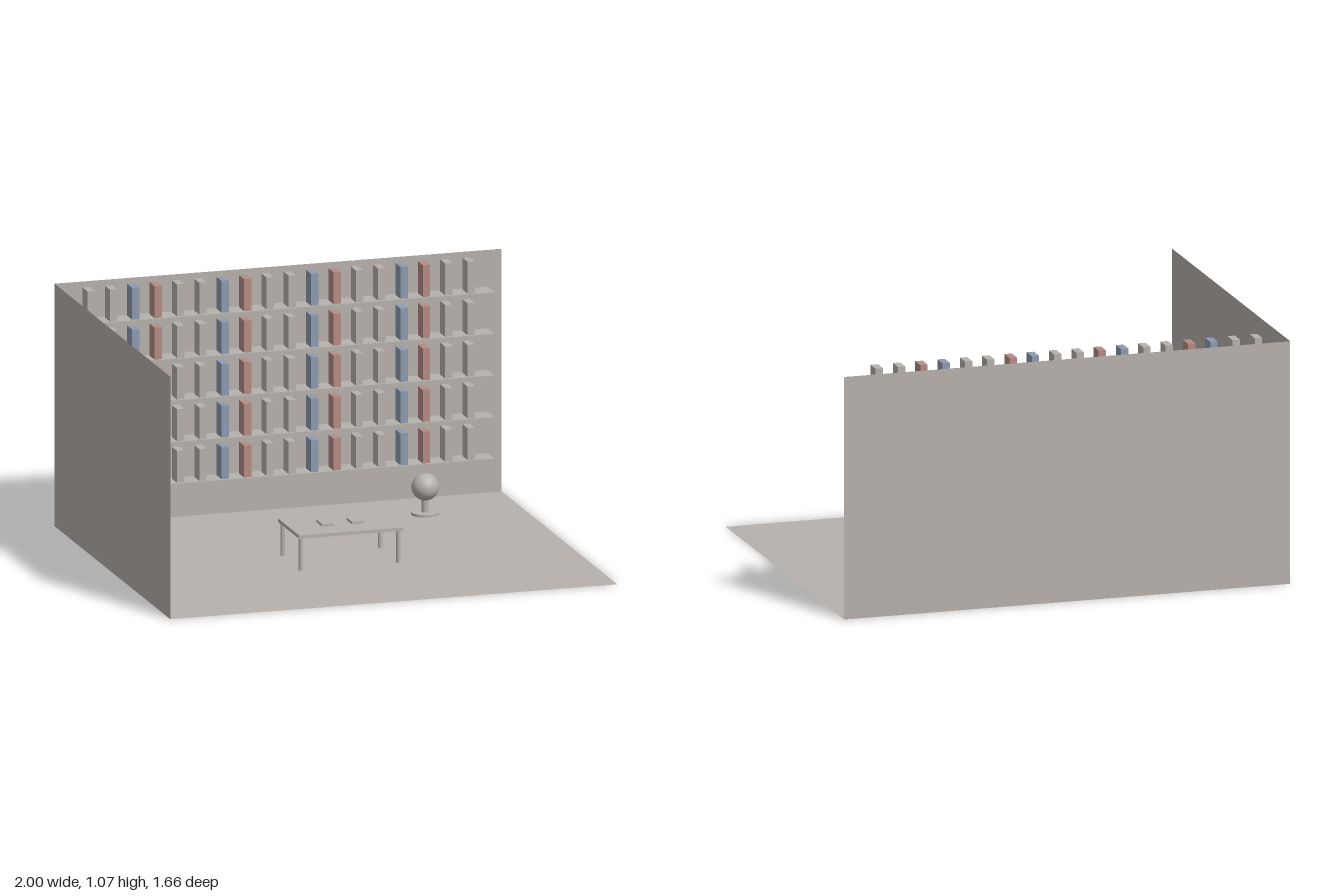
import * as THREE from 'three';

const mat = (name, color, side = THREE.FrontSide) => {
  const m = new THREE.MeshStandardMaterial({ color, side });
  m.name = name;
  return m;
};

export function createModel() {
  const room = new THREE.Group();
  room.name = 'libraryRoom';

  const plaster = mat('warm grey plaster', 0xb8b1ad, THREE.DoubleSide);
  const grey = mat('warm grey', 0xb6b1ac);
  const blue = mat('dusty blue', 0x8d9bb1);
  const red = mat('dusty red', 0xb58c84);

  const add = (parent, name, geometry, material, x, y, z) => {
    const mesh = new THREE.Mesh(geometry, material);
    mesh.name = name;
    mesh.position.set(x, y, z);
    parent.add(mesh);
    return mesh;
  };
  const group = (name) => {
    const g = new THREE.Group();
    g.name = name;
    room.add(g);
    return g;
  };

  // Floor and two thin walls
  const W = 2, D = 1.66, H = 1.07;
  add(room, 'floor', new THREE.PlaneGeometry(W, D), plaster, 0, 0, 0).rotation.x = -Math.PI / 2;
  add(room, 'backWall', new THREE.PlaneGeometry(W, H), plaster, 0, H / 2, -D / 2);
  add(room, 'rightWall', new THREE.PlaneGeometry(D, H), plaster, -W / 2, H / 2, 0).rotation.y = Math.PI / 2;

  // Five shelves, each with eighteen evenly spaced books
  const shelves = group('bookShelves');
  const shelfGeo = new THREE.BoxGeometry(1.832, 0.014, 0.1);
  const bookGeo = new THREE.BoxGeometry(0.033, 0.141, 0.072);
  const bookColors = [grey, grey, blue, red];
  for (let row = 0; row < 5; row++) {
    const top = 0.195 + row * 0.1835;
    add(shelves, 'shelf', shelfGeo, grey, -0.003, top - 0.007, -0.702);
    for (let i = 0; i < 18; i++) {
      add(shelves, 'shelfBook', bookGeo, bookColors[i % 4], -0.888 + i * 0.1, top + 0.07, -0.7);
    }
  }

  // Reading table with four legs and two books
  const table = group('readingTable');
  table.position.z = 0.065;
  add(table, 'tableTop', new THREE.BoxGeometry(0.464, 0.015, 0.302), grey, 0, 0.151, 0);
  const legGeo = new THREE.CylinderGeometry(0.01, 0.01, 0.144, 12);
  const tableBookGeo = new THREE.BoxGeometry(0.054, 0.011, 0.077);
  for (const sx of [-1, 1]) {
    for (const sz of [-1, 1]) add(table, 'tableLeg', legGeo, grey, sx * 0.218, 0.072, sz * 0.131);
    add(table, 'tableBook', tableBookGeo, grey, sx * 0.067, 0.164, -0.002);
  }

  // Globe on a round stand
  const globe = group('globe');
  globe.position.set(0.462, 0, -0.202);
  add(globe, 'globeBase', new THREE.CylinderGeometry(0.06, 0.06, 0.011, 32), grey, 0, 0.1015, 0);
  add(globe, 'globeStem', new THREE.CylinderGeometry(0.015, 0.015, 0.06, 20), grey, 0, 0.135, 0);
  add(globe, 'globeBall', new THREE.SphereGeometry(0.059, 32, 20), grey, 0, 0.217, 0);

  return room;
}
